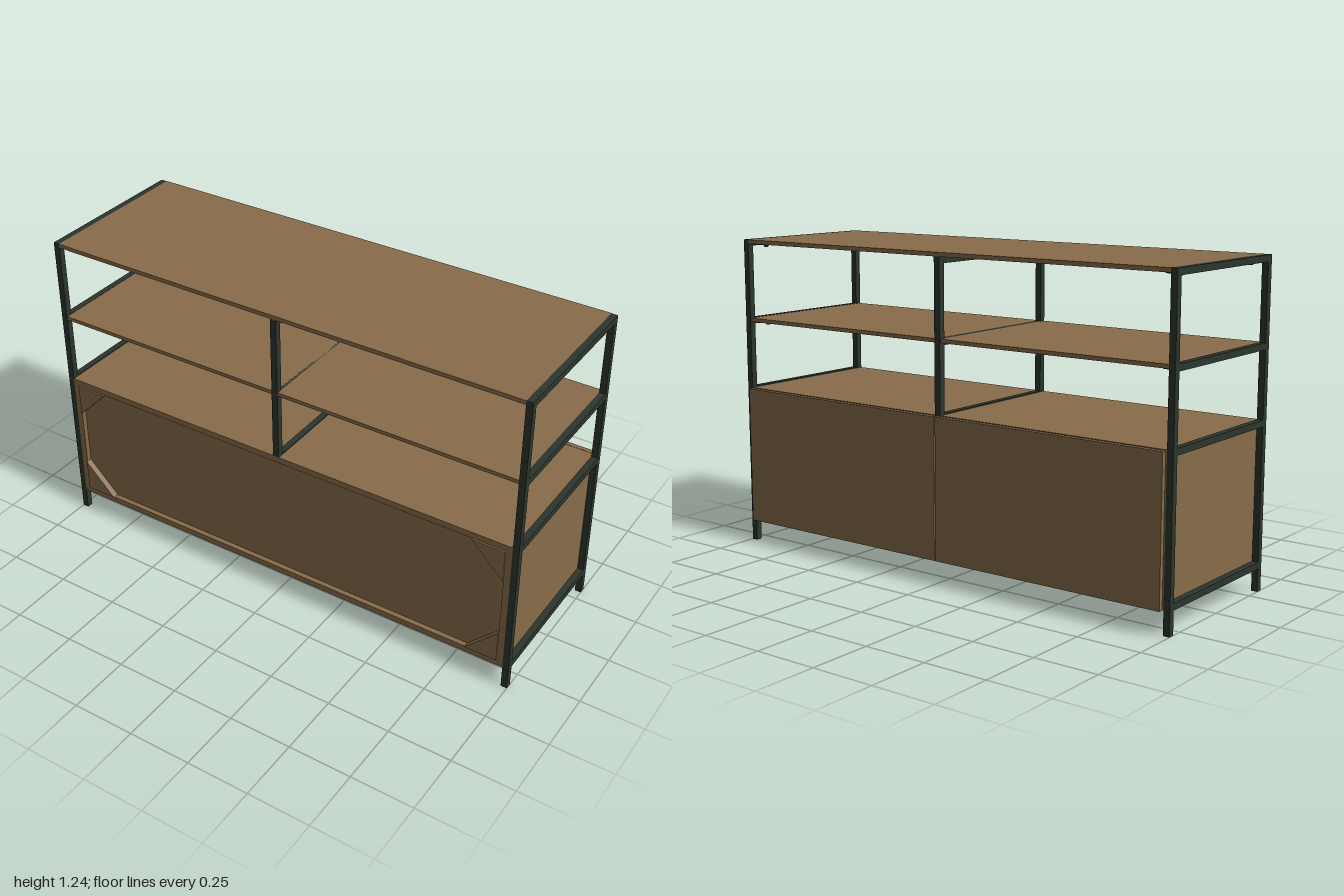
import * as THREE from 'three';

export function createModel() {
  const root = new THREE.Group();
  root.name = 'shelvingSideboard';
  const wood = new THREE.MeshStandardMaterial({ name: 'brown wood', color: 0x886c4a });
  const metal = new THREE.MeshStandardMaterial({ name: 'dark green metal', color: 0x2c352e });

  // Box given by its minimum and maximum on each axis
  function box(name, mat, x0, x1, y0, y1, z0, z1, parent = root) {
    const mesh = new THREE.Mesh(new THREE.BoxGeometry(x1 - x0, y1 - y0, z1 - z0), mat);
    mesh.position.set((x0 + x1) / 2, (y0 + y1) / 2, (z0 + z1) / 2);
    mesh.name = name;
    parent.add(mesh);
    return mesh;
  }

  const FRONT = 0.335, BACK = -0.318, TUBE = 0.025, H = 1.24;
  const inFront = FRONT - TUBE, inBack = BACK + TUBE;

  // End frames: two legs and four rails each
  for (const side of [-1, 1]) {
    const frame = new THREE.Group();
    frame.name = side > 0 ? 'leftEndFrame' : 'rightEndFrame';
    root.add(frame);
    const x0 = side > 0 ? 0.975 : -1, x1 = x0 + TUBE;
    box('frontLeg', metal, x0, x1, 0, H, inFront, FRONT, frame);
    box('backLeg', metal, x0, x1, 0, H, BACK, inBack, frame);
    for (const y of [0.088, 0.62, 0.901, 1.215])
      box('endRail', metal, x0, x1, y, y + TUBE, inBack, inFront, frame);

    // Support flanges and bolts under the two open shelves
    for (const y of [0.91, 1.224]) {
      const a = side * 0.94, b = side * 0.975;
      box('shelfFlange', metal, Math.min(a, b), Math.max(a, b), y - 0.006, y, inBack, inFront, frame);
      for (const z of [0.255, -0.235]) {
        const bolt = new THREE.Mesh(new THREE.CylinderGeometry(0.013, 0.007, 0.012, 16), metal);
        bolt.name = 'shelfBolt';
        bolt.position.set(side * 0.96, y - 0.012, z);
        frame.add(bolt);
      }
    }
  }

  // Middle frame standing in the cabinet
  const middle = new THREE.Group();
  middle.name = 'middleFrame';
  root.add(middle);
  box('frontPost', metal, -0.0125, 0.0125, 0.638, 1.224, inFront, FRONT, middle);
  box('backPost', metal, -0.0125, 0.0125, 0.115, 1.224, BACK - 0.002, inBack, middle);
  for (const y of [0.62, 0.9, 1.199])
    box('middleRail', metal, -0.0125, 0.0125, y, y + TUBE, inBack, inFront, middle);

  // Open shelves
  box('topShelf', wood, -0.975, 0.975, 1.224, H, BACK - 0.002, FRONT);
  box('middleShelf', wood, -0.975, 0.975, 0.91, 0.925, BACK + 0.002, FRONT - 0.002);

  // Cabinet carcass with a recessed front panel
  const cabinet = new THREE.Group();
  cabinet.name = 'cabinet';
  root.add(cabinet);
  box('cabinetTop', wood, -0.975, 0.975, 0.616, 0.641, BACK, FRONT, cabinet);
  box('cabinetBottom', wood, -0.975, 0.975, 0.09, 0.115, BACK, FRONT, cabinet);
  for (const side of [-1, 1]) {
    const end = box('cabinetEnd', wood, 0.95, 0.975, 0.115, 0.616, BACK, FRONT, cabinet);
    end.position.x *= side;
  }
  box('frontPanel', wood, -0.95, 0.95, 0.115, 0.616, 0.295, 0.315, cabinet);

  // Triangular corner plates on the front panel
  for (const sx of [-1, 1]) for (const [y, sy] of [[0.115, 1], [0.614, -1]]) {
    const x = sx * 0.95, leg = 0.13;
    const shape = new THREE.Shape([
      new THREE.Vector2(x, y),
      new THREE.Vector2(x - sx * leg, y),
      new THREE.Vector2(x, y + sy * leg),
    ]);
    const plate = new THREE.Mesh(
      new THREE.ExtrudeGeometry(shape, { depth: 0.025, bevelEnabled: false }), wood);
    plate.name = 'cornerPlate';
    plate.position.z = 0.315;
    cabinet.add(plate);
  }

  // Pair of doors on the back
  for (const side of [-1, 1]) {
    const door = box(side > 0 ? 'leftDoor' : 'rightDoor', wood,
      0.003, 0.972, 0.09, 0.639, -0.34, -0.322, cabinet);
    door.position.x *= side;
  }
  return root;
}
